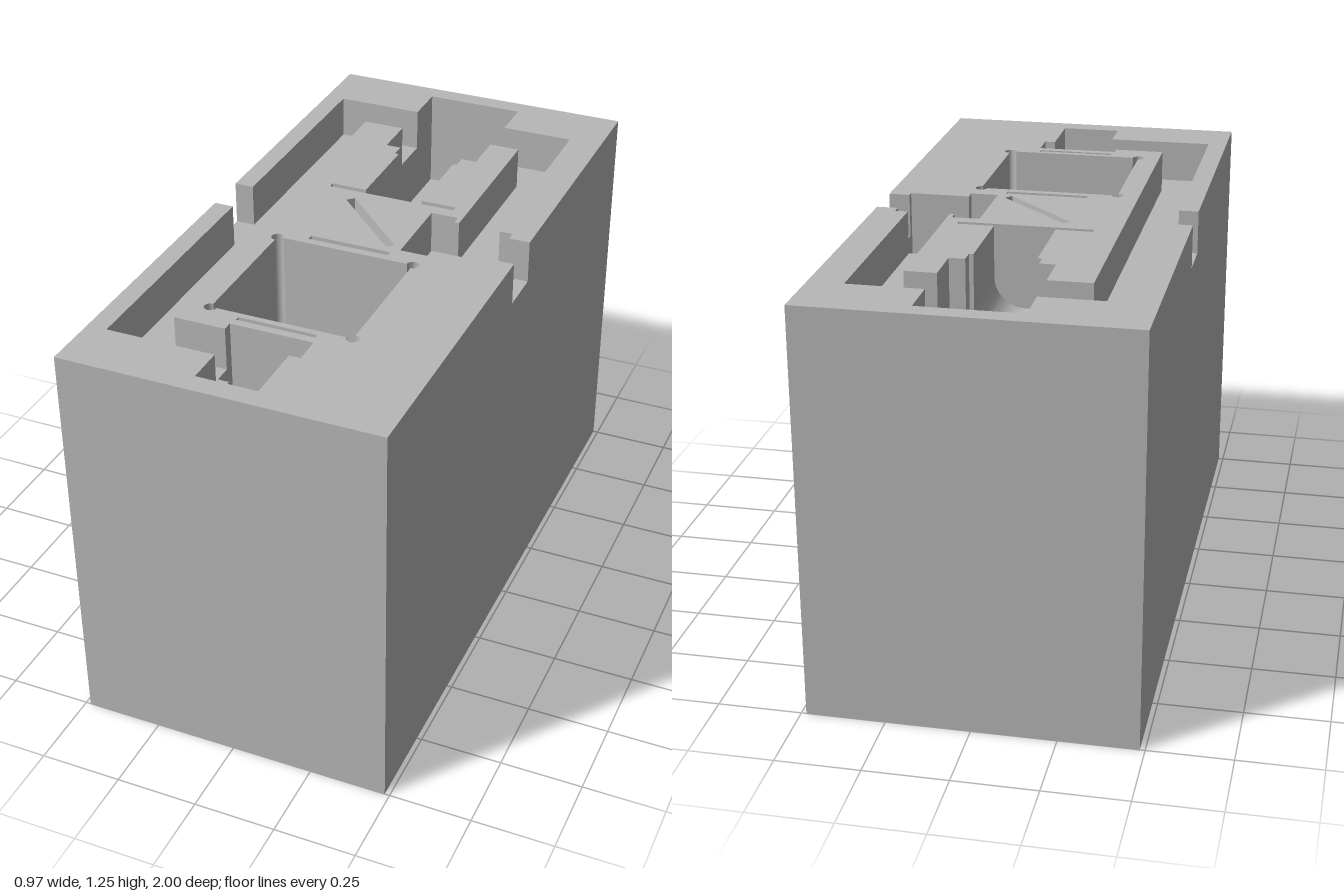
import * as THREE from 'three';
import { toCreasedNormals } from 'three/addons/utils/BufferGeometryUtils.js';

const HX = 0.485, HZ = 1, H = 1.25;   // block half width, half length, height
const AXIS = 0.16;                    // depth of the optical axis below the top
const CHANNEL = 0.133, SLOT = 0.36;

const grey = new THREE.MeshStandardMaterial({ color: 0xb8b8b8 });
grey.name = 'light grey';

// --- helpers -------------------------------------------------------------
const flat = d => () => d;
const round = r => x => AXIS + Math.sqrt(Math.max(0, r * r - x * x));
const P = (x, y, z) => new THREE.Vector3(x, y, z);

function addQuad(out, a, b, c, d) {
  for (const [p, q, r] of [[a, b, c], [a, c, d]]) {
    const area = q.clone().sub(p).cross(r.clone().sub(p)).length();
    if (area > 1e-9) for (const v of [p, q, r]) out.push(v.x, v.y, v.z);
  }
}

function facesGeometry(out) {
  const g = new THREE.BufferGeometry();
  g.setAttribute('position', new THREE.Float32BufferAttribute(out, 3));
  return toCreasedNormals(g, 0.5);
}

// rings of [x, z], counter-clockwise seen from above
const rectRing = (x0, x1, z0, z1) => [[x0, z1], [x1, z1], [x1, z0], [x0, z0]];
const circleRing = (cx, cz, r, n = 24) => Array.from({ length: n }, (_, i) => {
  const a = i / n * Math.PI * 2;
  return [cx + r * Math.cos(a), cz - r * Math.sin(a)];
});
const at = (ring, y) => ring.map(([x, z]) => P(x, y, z));

// inward-facing walls of a hole between an upper and a lower ring
function holeWalls(hi, lo) {
  const out = [];
  hi.forEach((p, i) => {
    const j = (i + 1) % hi.length;
    addQuad(out, p, hi[j], lo[j], lo[i]);
  });
  return facesGeometry(out);
}

// horizontal sheet with holes, facing up or down
function sheet(outline, holes, y, up = true) {
  const s = up ? -1 : 1;
  const pts = ring => ring.map(([x, z]) => new THREE.Vector2(x, s * z));
  const shape = new THREE.Shape(pts(outline));
  holes.forEach(h => shape.holes.push(new THREE.Path(pts(h))));
  return new THREE.ShapeGeometry(shape).rotateX(s * Math.PI / 2).translate(0, y, 0);
}

// --- block with stepped pockets -----------------------------------------
// [x0, x1, z0, z1, depth function]
const pockets = [
  // rear sensor box, round collar and lens barrel
  [-0.154, 0.154, -0.94, -0.535, flat(AXIS + 0.154)],
  [-0.106, 0.106, -0.535, -0.49, round(0.106)],
  [-0.093, 0.093, -0.49, -0.22, round(0.093)],
  // filter slots
  [-0.205, 0.205, -0.22, -0.2, flat(SLOT)],
  [-0.127, 0.127, 0.115, 0.135, flat(SLOT)],
  [-0.12, 0.12, 0.62, 0.635, flat(SLOT)],
  // front lamp: flange and body
  [-0.127, 0.127, 0.66, 0.745, flat(AXIS + 0.127)],
  [-0.093, 0.093, 0.745, 0.935, flat(AXIS + 0.093)],
  // side lamp: flange and body
  [0.15, 0.235, -0.16, 0.093, flat(AXIS + 0.127)],
  [0.235, 0.42, -0.13, 0.06, flat(AXIS + 0.093)],
  // cable channels
  [-0.425, -0.285, -0.805, 0.82, flat(CHANNEL)],
  [-0.425, -0.093, 0.69, 0.82, flat(CHANNEL)],
  [-0.425, 0.38, -0.805, -0.67, flat(CHANNEL)],
  [0.25, 0.38, -0.805, -0.13, flat(CHANNEL)],
  // cable exits through the sides
  [-HX, -0.425, -0.1, 0.04, flat(CHANNEL)],
  [0.42, HX, -0.1, 0.04, flat(CHANNEL)],
];

// top areas holding the mirror slot and the sample well, made separately
const mirrorArea = [-0.15, 0.15, -0.2, 0.115];
const wellArea = [-0.245, 0.245, 0.136, 0.6195];
const covers = ([x0, x1, z0, z1], x, z) => x > x0 && x < x1 && z > z0 && z < z1;

function blockGeometry() {
  const areas = [...pockets, mirrorArea, wellArea];
  const arcs = [0.093, 0.106].flatMap(r =>
    Array.from({ length: 21 }, (_, i) => -r * Math.cos(i / 20 * Math.PI)));
  const unique = list => [...new Set(list.map(v => +v.toFixed(5)))].sort((a, b) => a - b);
  const xs = unique([-HX, HX, ...arcs, ...areas.flatMap(a => [a[0], a[1]])]);
  const zs = unique([-HZ, HZ, ...areas.flatMap(a => [a[2], a[3]])]);
  const nx = xs.length - 1, nz = zs.length - 1;

  // surface height rule of each cell; zero outside the block
  const cell = (i, k) => {
    if (i < 0 || k < 0 || i >= nx || k >= nz) return () => 0;
    const x = (xs[i] + xs[i + 1]) / 2, z = (zs[k] + zs[k + 1]) / 2;
    let best = flat(0);
    for (const p of pockets) if (covers(p, x, z) && p[4](x) > best(x)) best = p[4];
    return px => H - best(px);
  };

  const out = [];
  for (let i = 0; i <= nx; i++) for (let k = 0; k <= nz; k++) {
    const x0 = xs[i], x1 = xs[i + 1], z0 = zs[k], z1 = zs[k + 1];
    const h = cell(i, k);
    if (k < nz) {       // wall towards the previous cell in x
      const l = cell(i - 1, k);
      addQuad(out, P(x0, h(x0), z1), P(x0, h(x0), z0), P(x0, l(x0), z0), P(x0, l(x0), z1));
    }
    if (i < nx) {       // wall towards the previous cell in z
      const b = cell(i, k - 1);
      addQuad(out, P(x0, h(x0), z0), P(x1, h(x1), z0), P(x1, b(x1), z0), P(x0, b(x0), z0));
    }
    if (i < nx && k < nz) {
      const x = (x0 + x1) / 2, z = (z0 + z1) / 2;
      if (covers(mirrorArea, x, z) || covers(wellArea, x, z)) continue;
      addQuad(out, P(x0, h(x0), z0), P(x0, h(x0), z1), P(x1, h(x1), z1), P(x1, h(x1), z0));
    }
  }
  return facesGeometry(out);
}

export function createModel() {
  const model = new THREE.Group();
  model.name = 'opticsHousing';
  const add = (name, geometry) => {
    const mesh = new THREE.Mesh(geometry, grey);
    mesh.name = name;
    model.add(mesh);
  };

  add('blockWithPockets', blockGeometry());

  // diagonal mirror slot
  const c = Math.SQRT1_2;
  const mirror = rectRing(-0.16, 0.16, -0.014, 0.014)
    .map(([u, v]) => [(u - v) * c, -0.033 + (u + v) * c]);
  add('mirrorSurround', sheet(rectRing(...mirrorArea), [mirror], H));
  add('mirrorSlotWalls', holeWalls(at(mirror, H), at(mirror, H - SLOT)));
  add('mirrorSlotFloor', sheet(mirror, [], H - SLOT));

  // sample well with relieved round corners
  const ledgeY = 0.8;
  const outline = [];
  rectRing(-0.217, 0.217, 0.16, 0.6).forEach(([x, z], k) => {
    for (let i = 0; i <= 12; i++) {
      const a = Math.PI / 2 * (1 + k + i / 4);
      outline.push([x + 0.019 * Math.cos(a), z - 0.019 * Math.sin(a)]);
    }
  });
  const inner = rectRing(-0.18, 0.18, 0.16, 0.6);
  add('wellSurround', sheet(rectRing(...wellArea), [outline], H));
  add('wellWalls', holeWalls(at(outline, H), at(outline, ledgeY)));
  add('wellLedge', sheet(outline, [inner], ledgeY));

  // sloping well floor with a drain chute to the underside
  const zB = 0.172, slope = z => 0.6 + (z - zB) * 0.27;
  const sloped = ring => ring.map(([x, z]) => P(x, slope(z), z));
  add('lowerWellWalls', holeWalls(at(inner, ledgeY), sloped(rectRing(-0.18, 0.18, zB, 0.6))));
  const floor = [];
  for (const r of [[-0.18, -0.05, zB, 0.6], [0.05, 0.18, zB, 0.6], [-0.05, 0.05, 0.265, 0.6]])
    addQuad(floor, ...sloped(rectRing(...r)));
  add('wellFloor', facesGeometry(floor));
  const drain = rectRing(-0.05, 0.05, -0.2, -0.1);
  add('drainChute', holeWalls(sloped(rectRing(-0.05, 0.05, zB, 0.265)), at(drain, 0)));

  // underside with two blind mounting holes
  const mounts = [-0.72, 0.71].map(z => circleRing(0, z, 0.04));
  add('underside', sheet(rectRing(-HX, HX, -HZ, HZ), [drain, ...mounts], 0, false));
  for (const ring of mounts) {
    add('mountingHoleWall', holeWalls(at(ring, 0.25), at(ring, 0)));
    add('mountingHoleEnd', sheet(ring, [], 0.25, false));
  }
  return model;
}
